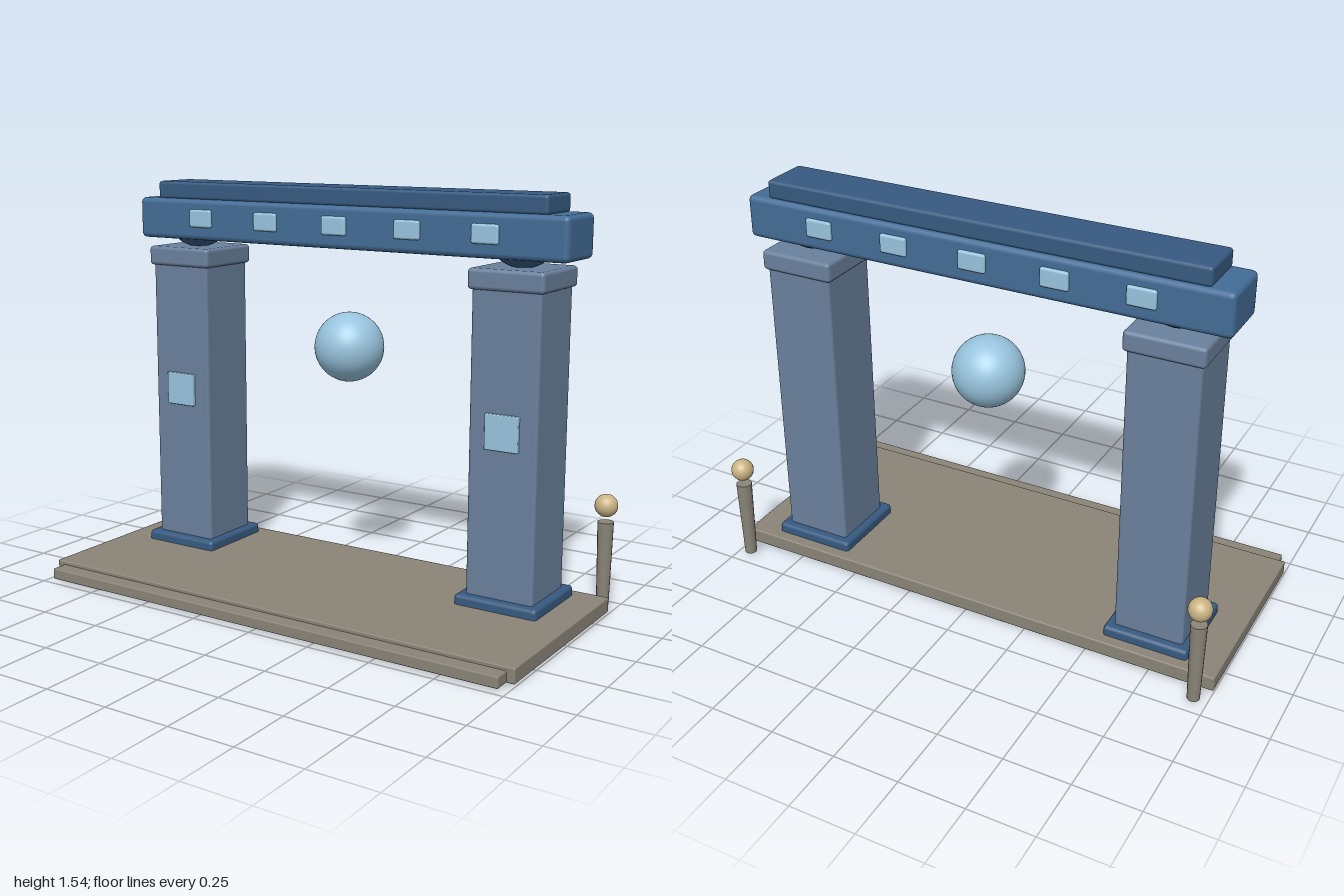
import * as THREE from 'three';
import { RoundedBoxGeometry } from 'three/addons/geometries/RoundedBoxGeometry.js';

const material = (color) => new THREE.MeshStandardMaterial({ color });

export function createModel() {
  const gate = new THREE.Group();
  gate.name = 'gateway';
  const stone = material(0x8a8478);
  const pillarBlue = material(0x6a809c);
  const beamBlue = material(0x426c96);
  const deepBlue = material(0x365a80);
  const glow = material(0x98c4de);
  const brass = material(0xcbb484);
  const Z = -0.165; // depth of the arch plane

  const add = (name, geometry, mat, x, y, z) => {
    const mesh = new THREE.Mesh(geometry, mat);
    mesh.name = name;
    mesh.position.set(x, y, z);
    gate.add(mesh);
    return mesh;
  };
  // Softly bevelled block given by its bottom and top heights
  const block = (name, mat, w, y0, y1, d, x, z, bevel = 0.008) =>
    add(name, new RoundedBoxGeometry(w, y1 - y0, d, 2, bevel), mat, x, (y0 + y1) / 2, z);

  // Platform with a low front step
  block('platform', stone, 2, 0.008, 0.065, 0.79, 0, 0.022, 0.006);
  block('frontStep', stone, 1.94, 0.008, 0.05, 0.12, 0, 0.418, 0.005);

  for (const [side, s] of [['left', 1], ['right', -1]]) {
    // Pillar with plinth, cap and glowing front panel
    const x = s * 0.715;
    block(side + 'Plinth', deepBlue, 0.325, 0.0, 0.102, 0.33, x, Z, 0.014);
    block(side + 'Pillar', pillarBlue, 0.265, 0.06, 1.22, 0.262, x, Z, 0.012);
    block(side + 'Cap', pillarBlue, 0.292, 1.21, 1.285, 0.287, x, Z, 0.014);
    block(side + 'Panel', glow, 0.13, 0.65, 0.78, 0.03, x, -0.034, 0.004);

    // Rounded bearing between cap and beam
    const bearing = add(side + 'Bearing', new THREE.SphereGeometry(0.108, 24, 16), deepBlue, x, 1.36, Z);
    bearing.scale.y = 0.75;

    // Rear marker post with a floating ball
    add(side + 'Post', new THREE.CylinderGeometry(0.03, 0.023, 0.32, 16), stone, s * 0.95, 0.17, -0.437);
    add(side + 'PostBall', new THREE.SphereGeometry(0.043, 24, 16), brass, s * 0.95, 0.392, -0.437);
  }

  // Crossbeam and top slab
  block('crossbeam', beamBlue, 1.86, 1.315, 1.475, 0.222, 0, Z, 0.02);
  block('topSlab', deepBlue, 1.69, 1.472, 1.541, 0.192, 0, Z, 0.012);

  // Lamps showing on both faces of the beam
  for (let i = -2; i <= 2; i++) {
    block('beamLamp', glow, 0.106, 1.366, 1.436, 0.244, i * 0.31, Z, 0.009);
  }

  // Orb floating in the opening
  add('orb', new THREE.SphereGeometry(0.133, 40, 28), glow, 0, 0.935, Z);

  return gate;
}
